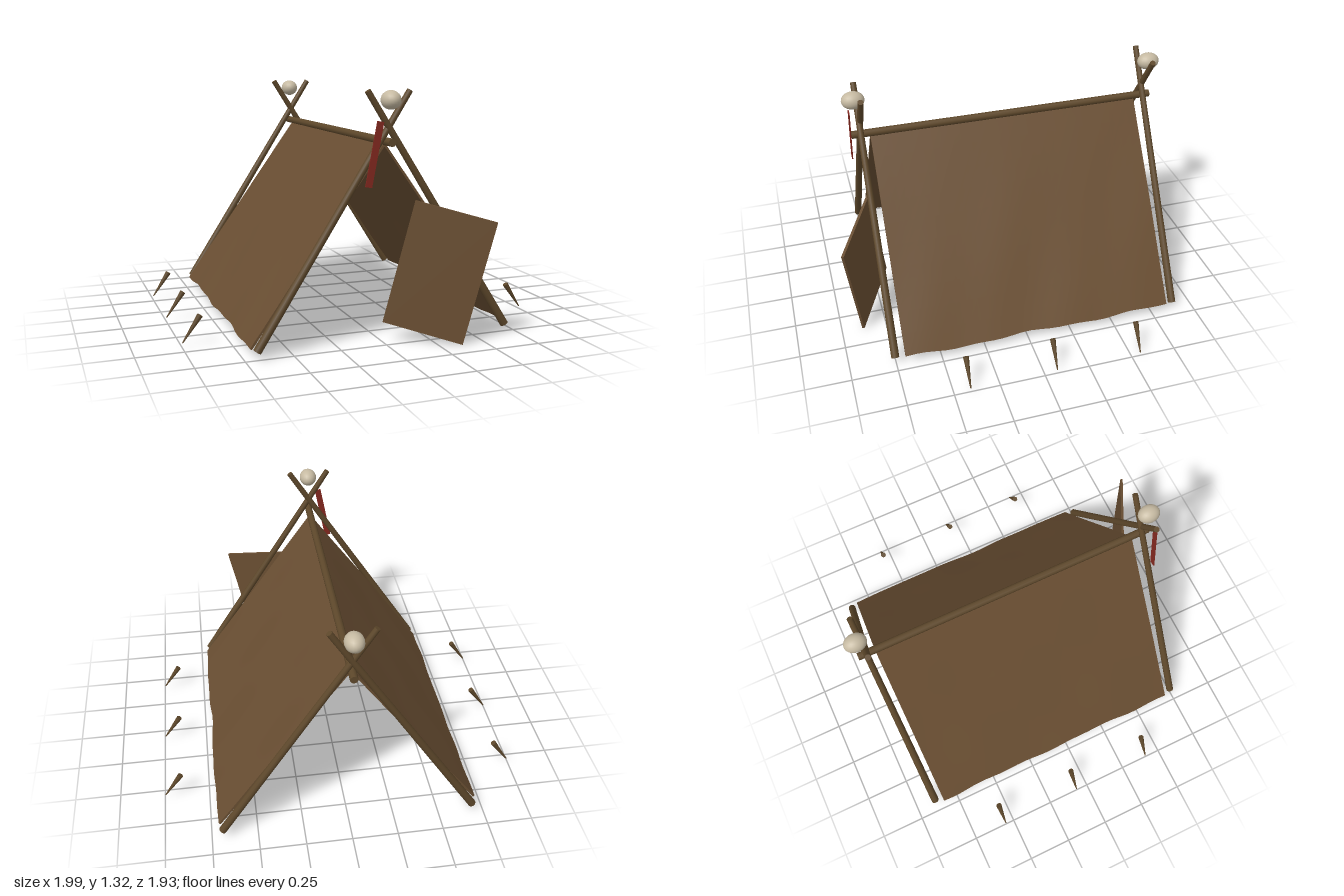
import * as THREE from 'three';

const mat = (name, color) => {
  const m = new THREE.MeshStandardMaterial({ color });
  m.name = name;
  return m;
};

export function createModel() {
  const wood = mat('wood', 0x5e482b);
  const hide = mat('hide', 0x694e32);
  const bone = mat('bone', 0xc6baa2);
  const red = mat('red cloth', 0x84281f);
  const tent = new THREE.Group();
  tent.name = 'tent';

  const add = (name, geometry, material, x = 0, y = 0, z = 0) => {
    const mesh = new THREE.Mesh(geometry, material);
    mesh.name = name;
    mesh.position.set(x, y, z);
    tent.add(mesh);
    return mesh;
  };

  // Tapered round stick from point a (radius ra) to point b (radius rb)
  const stick = (name, a, b, ra, rb) => {
    const from = new THREE.Vector3(...a), to = new THREE.Vector3(...b);
    const dir = to.clone().sub(from);
    const mesh = add(name, new THREE.CylinderGeometry(rb, ra, dir.length(), 10), wood);
    mesh.position.copy(from).add(to).multiplyScalar(0.5);
    mesh.quaternion.setFromUnitVectors(new THREE.Vector3(0, 1, 0), dir.normalize());
  };

  // Crossed end poles, each pair topped with a bone knob
  for (const [end, z, knobZ] of [['front', 0.75, 0.775], ['back', -0.88, -0.908]]) {
    for (const s of [-1, 1]) {
      const zz = z + s * 0.003;
      stick(end + 'Pole', [s * 0.69, 0.05, zz], [-s * 0.115, 1.315, zz], 0.022, 0.016);
    }
    add(end + 'Knob', new THREE.SphereGeometry(0.05, 20, 14), bone, 0, 1.27, knobZ)
      .scale.set(1, 0.96, 1.25);
  }

  // Ridge pole
  stick('ridgePole', [0, 1.06, 0.8], [0, 1.06, -0.93], 0.021, 0.021);

  // Hide sheets with a gently uneven surface and lower hem
  const length = 1.215, depth = 1.535;
  for (const s of [-1, 1]) {
    const g = new THREE.BoxGeometry(0.012, length, depth, 1, 10, 28);
    const p = g.attributes.position;
    for (let i = 0; i < p.count; i++) {
      const y = p.getY(i), z = p.getZ(i);
      const t = 0.5 - y / length;
      const ripple = Math.sin(z * 7 + s) * Math.sin(y * 6 + 1) + 0.5 * Math.sin(z * 15 + y * 4);
      p.setX(i, p.getX(i) + 0.004 * ripple * t);
      p.setY(i, y + 0.006 * t ** 4 * (Math.sin(z * 9 + s) + 0.6 * Math.sin(z * 21)));
    }
    g.computeVertexNormals();
    const sheet = add(s > 0 ? 'leftHide' : 'rightHide', g, hide, s * 0.355, 0.548, -0.068);
    sheet.rotation.z = s * 0.622;
  }

  // Door flap hanging open at the front
  const flap = add('doorFlap', new THREE.BoxGeometry(0.43, 0.667, 0.014), hide, 0.26, 0.383, 0.82);
  flap.rotation.set(0, -0.496, -0.246, 'YXZ');

  // Red ribbon on the front poles
  const ribbon = add('ribbon', new THREE.BoxGeometry(0.036, 0.33, 0.006), red, -0.094, 1.005, 0.797);
  ribbon.rotation.z = -0.19;

  // Ground stakes along both sides
  for (const s of [-1, 1]) {
    for (const z of [0.41, -0.07, -0.55]) {
      stick('stake', [s * 0.995, 0.025, z], [s * 0.9, 0.165, z], 0.003, 0.016);
    }
  }
  return tent;
}
